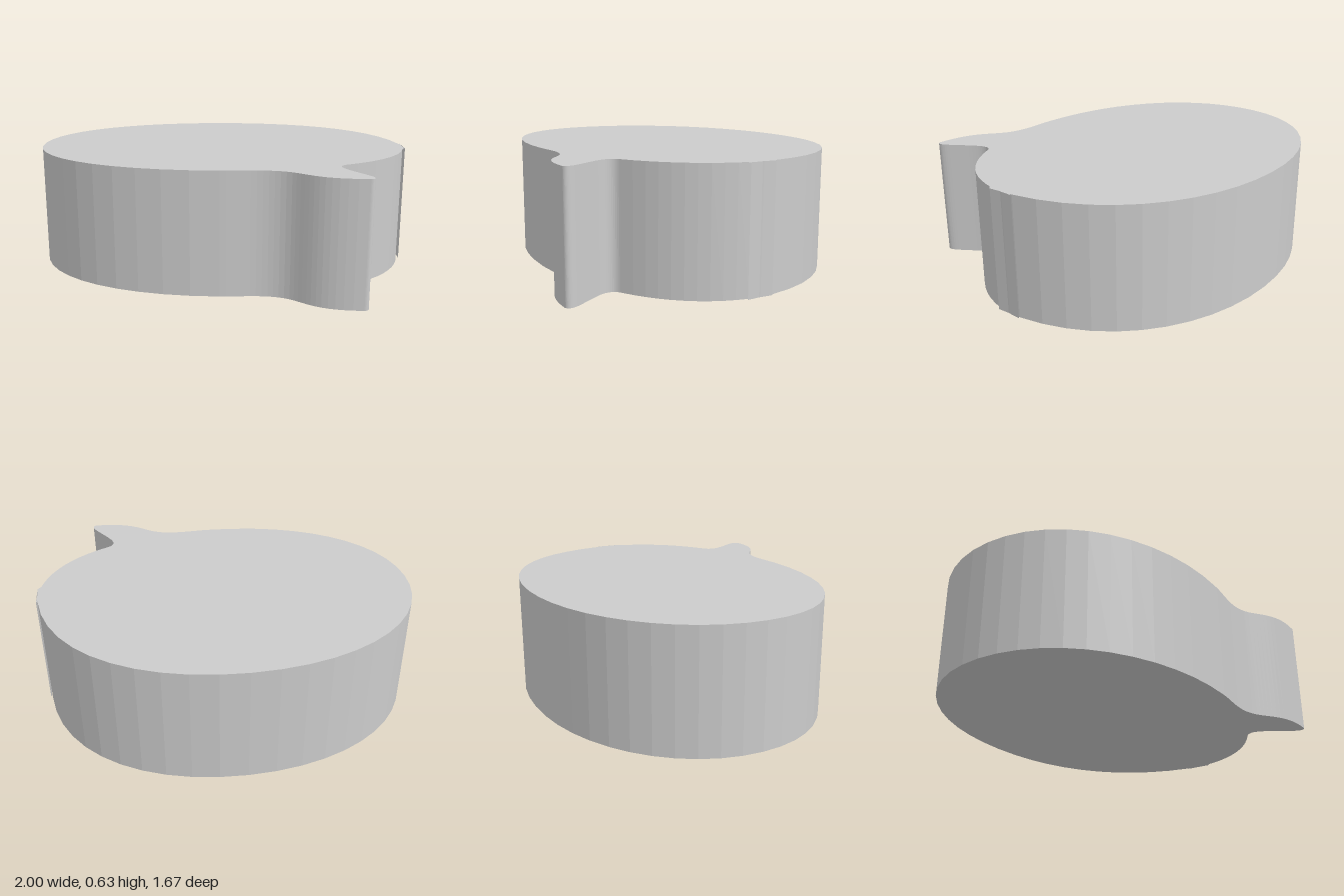
import * as THREE from 'three';

const HEIGHT = 0.63;

// Plan outline of the bubble; every point is given as (x, z).
function bubbleOutline() {
  const shape = new THREE.Shape();
  const curve = (ax, az, bx, bz, x, z) => shape.bezierCurveTo(ax, -az, bx, -bz, x, -z);

  // rounded body, from the front round the left side and back
  shape.moveTo(1, -0.07);
  curve(1, -0.5, 0.59, -0.84, 0, -0.84);
  curve(-0.59, -0.84, -1, -0.5, -1, -0.07);
  curve(-1, 0.36, -0.59, 0.67, 0, 0.67);

  // tail: swelling front edge, rounded tip, inner notch
  curve(0.12, 0.67, 0.24, 0.64, 0.34, 0.7);
  curve(0.42, 0.75, 0.46, 0.835, 0.68, 0.835);
  curve(0.7, 0.835, 0.71, 0.815, 0.7, 0.79);
  curve(0.69, 0.76, 0.63, 0.68, 0.6, 0.62);
  curve(0.58, 0.58, 0.58, 0.54, 0.62, 0.52);

  // body again, back up to the start
  curve(0.86, 0.4, 1, 0.2, 1, -0.07);
  return shape;
}

export function createModel() {
  const group = new THREE.Group();
  group.name = 'speechBubble';

  // flat slab, lying on the ground
  const geometry = new THREE.ExtrudeGeometry(bubbleOutline(), {
    depth: HEIGHT,
    bevelEnabled: false,
    curveSegments: 12,
  });
  geometry.rotateX(-Math.PI / 2);

  const material = new THREE.MeshStandardMaterial({ color: 0xcccccc, flatShading: true });
  const slab = new THREE.Mesh(geometry, material);
  slab.name = 'bubbleSlab';
  group.add(slab);
  return group;
}
